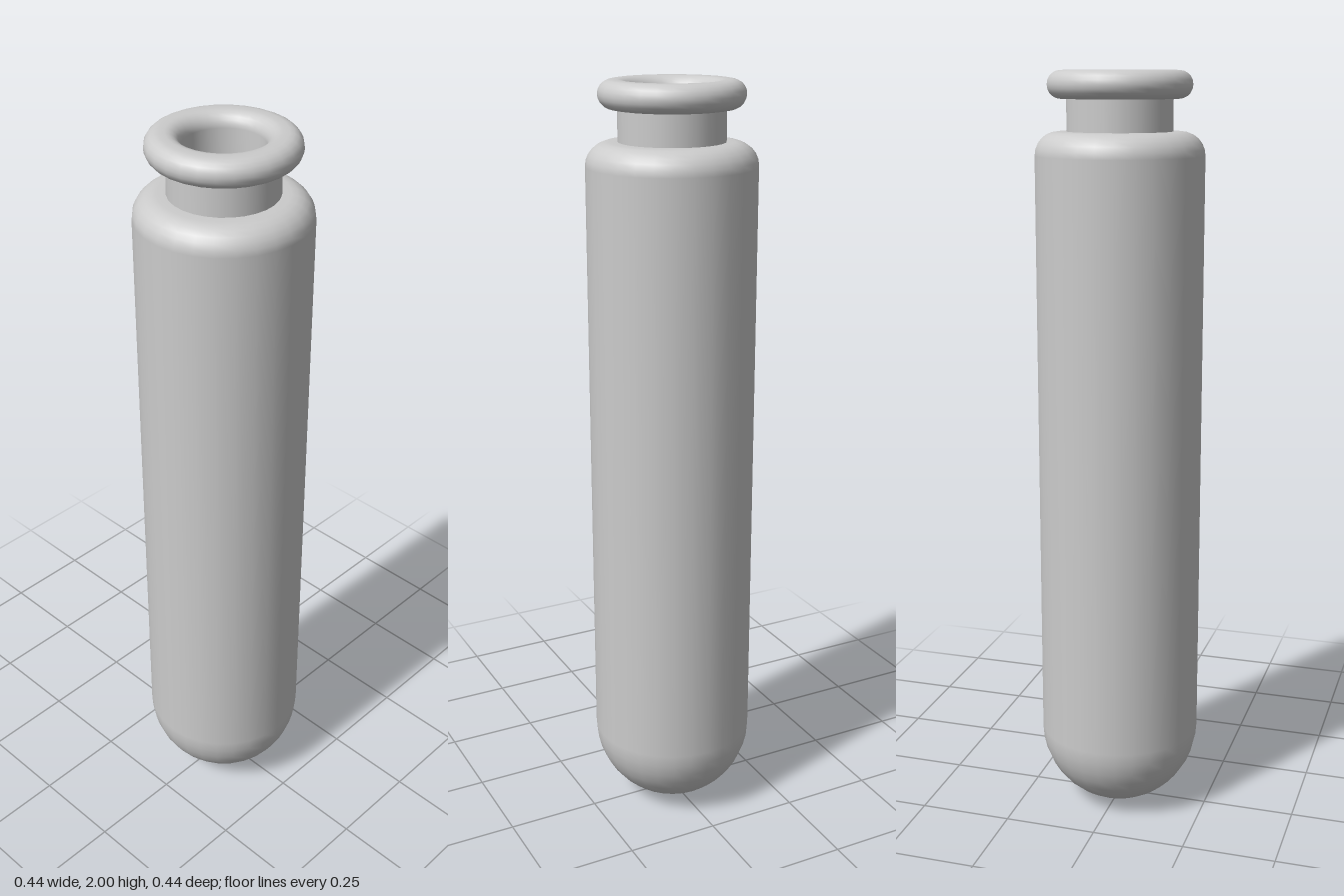
import * as THREE from 'three';

const SIDES = 28;
const material = new THREE.MeshStandardMaterial({ color: 0xcccccc, side: THREE.DoubleSide });

// Points on a circular arc in the (radius, height) plane, angles in degrees
function arc(cx, cy, r, from, to, steps) {
  const points = [];
  for (let i = 0; i <= steps; i++) {
    const a = THREE.MathUtils.degToRad(from + (to - from) * i / steps);
    points.push([Math.max(0, cx + r * Math.cos(a)), cy + r * Math.sin(a)]);
  }
  return points;
}

function lathe(name, profile) {
  const points = profile.map(([x, y]) => new THREE.Vector2(x, y));
  const mesh = new THREE.Mesh(new THREE.LatheGeometry(points, SIDES), material);
  mesh.name = name;
  return mesh;
}

export function createModel() {
  const group = new THREE.Group();
  group.name = 'testTube';

  // Round bottom, straight wall and rounded shoulder
  group.add(lathe('outerBody', [
    ...arc(0, 0.218, 0.218, -90, 0, 10),
    ...arc(0.158, 1.79, 0.06, 0, 90, 6),
    [0.136, 1.85],
  ]));

  // Narrow neck
  group.add(lathe('neck', [[0.136, 1.85], [0.136, 1.93]]));

  // Rolled lip, running over into the mouth
  group.add(lathe('lip', [
    [0.136, 1.93],
    ...arc(0.15, 1.965, 0.035, -90, 90, 10),
    ...arc(0.135, 1.965, 0.035, 90, 180, 6),
    [0.1, 1.85],
  ]));

  // Hollow inside, from the mouth down to the bowl-shaped floor
  group.add(lathe('innerWall', [
    [0.1, 1.85],
    ...arc(0.135, 1.78, 0.05, 90, 0, 5),
    ...arc(0, 0.218, 0.185, 0, -90, 10),
  ]));

  return group;
}
